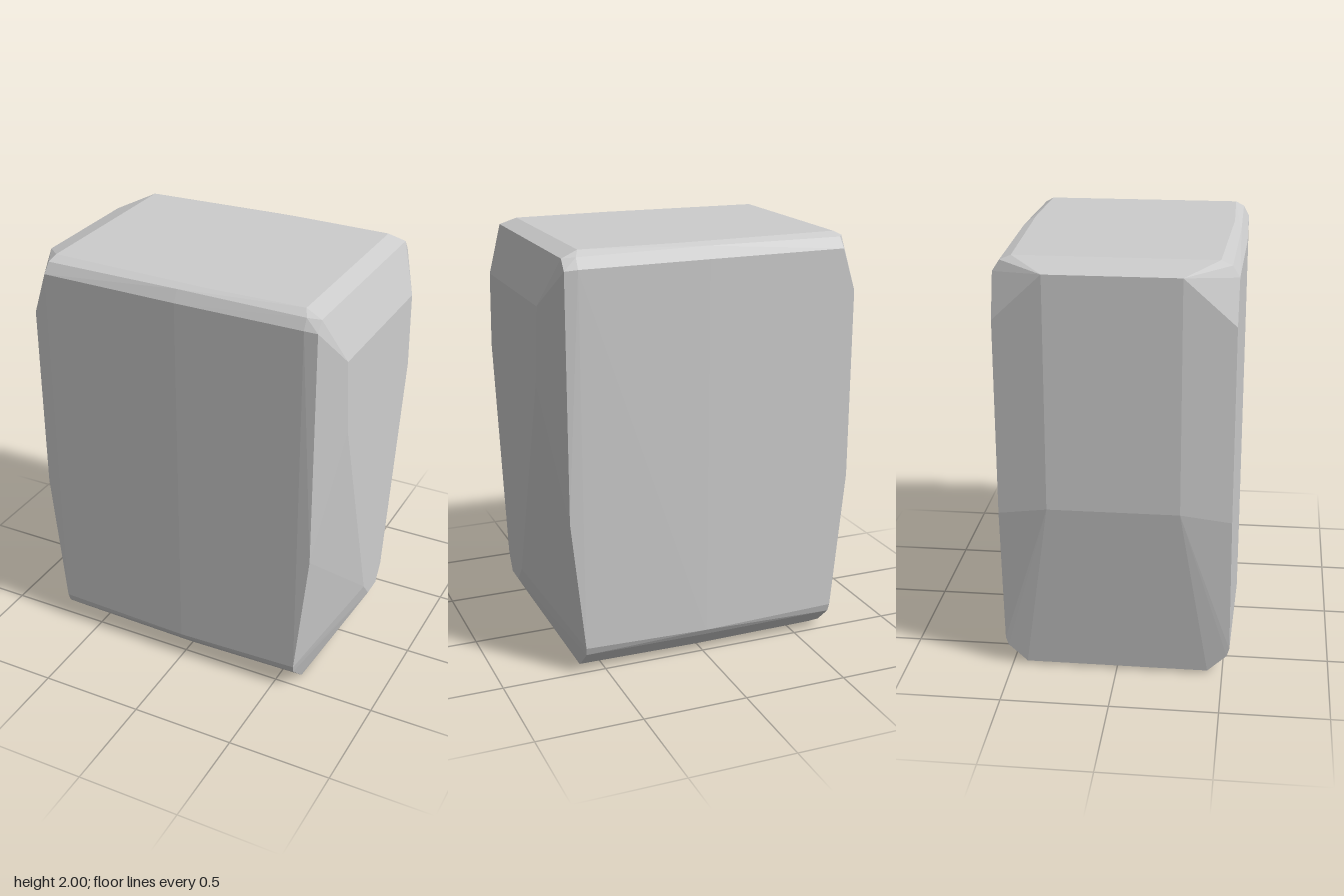
import * as THREE from 'three';
import { ConvexGeometry } from 'three/addons/geometries/ConvexGeometry.js';

// Chamfered stone block: half of its corners, mirrored front to back
export function createModel() {
  const group = new THREE.Group();
  const stone = new THREE.MeshStandardMaterial({ color: 0xcccccc });
  stone.name = 'stoneGrey';

  const corners = [
    // top face and its two-step bevel
    [-0.66, 2, 0.45], [0.13, 2, 0.48], [0.59, 2, 0.47],
    [-0.67, 1.98, 0.5], [0, 1.985, 0.515], [0.61, 1.975, 0.51],
    [-0.675, 1.93, 0.532], [0, 1.93, 0.545], [0.61, 1.925, 0.537],
    // right side, bulging low down
    [0.67, 1.97, 0.49], [0.67, 1.92, 0.527], [0.67, 0.77, 0.53],
    [0.755, 1.75, 0.39], [0.764, 1.4, 0.375],
    [0.785, 0.4, 0.11], [0.787, 0.325, 0.05],
    // left side with cut upper corners
    [-0.79, 1.95, 0.3], [-0.79, 0.87, 0.3],
    [-0.74, 1.73, 0.53], [-0.74, 0.82, 0.53],
    // lower bevel and base
    [-0.675, 0.14, 0.532], [0, 0.13, 0.545], [0.605, 0.14, 0.535],
    [-0.672, 0.1, 0.52], [0, 0.1, 0.528], [0.6, 0.1, 0.52],
    [-0.67, 0.015, 0.43], [0, 0.01, 0.44], [0.6, 0.015, 0.43],
    [-0.63, 0, 0.41], [0.6, 0, 0.41],
  ];
  const points = corners.flatMap(([x, y, z]) => [
    new THREE.Vector3(x, y, z),
    new THREE.Vector3(x, y, -z),
  ]);

  const block = new THREE.Mesh(new ConvexGeometry(points), stone);
  block.name = 'stoneBlock';
  group.add(block);
  return group;
}
